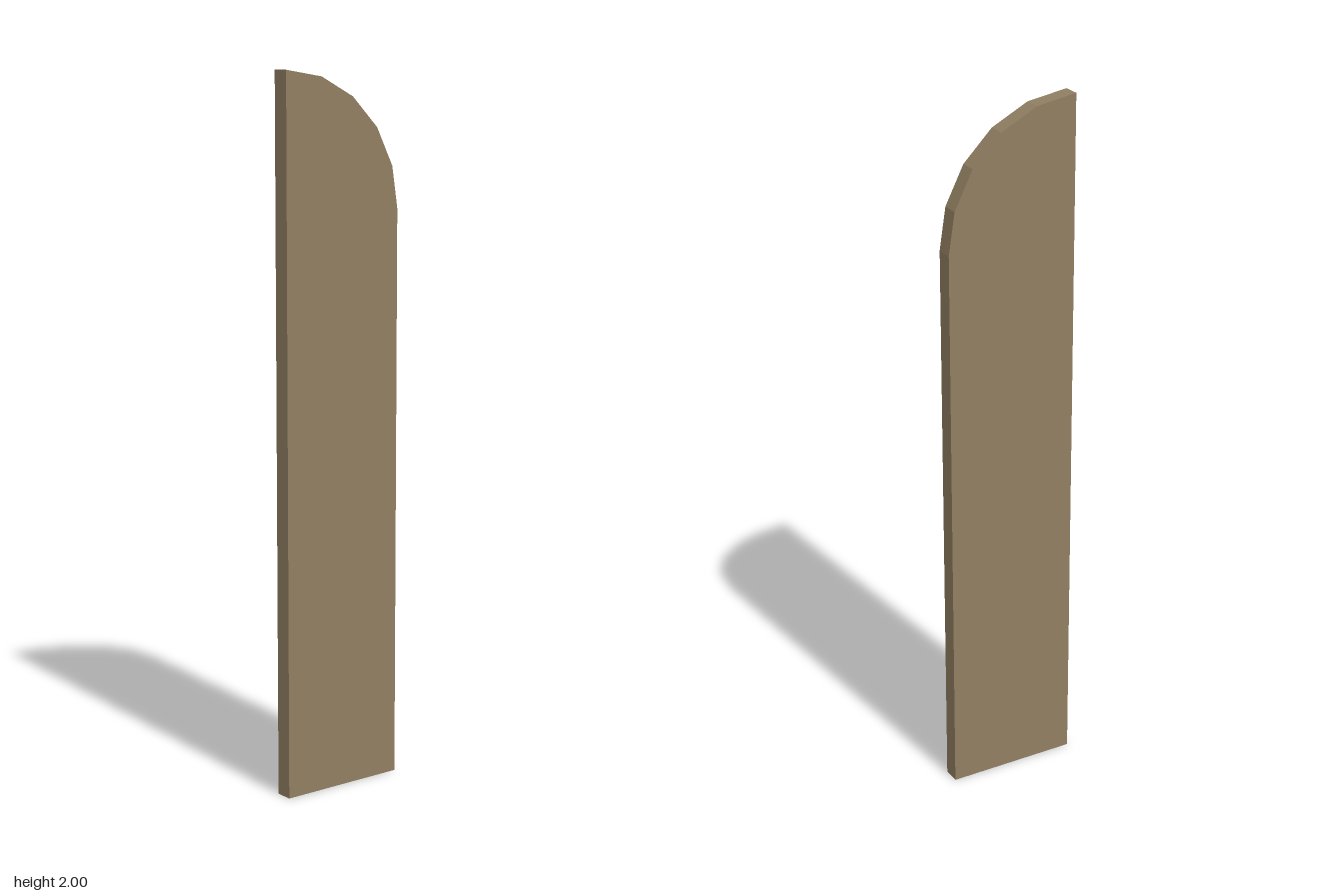
import * as THREE from 'three';

const THICKNESS = 0.05;
const HALF_WIDTH = 0.19;
const HEIGHT = 2;
const RADIUS = 2 * HALF_WIDTH; // the rounded corner spans the full width
const ARC_SEGMENTS = 5;

export function createModel() {
  const group = new THREE.Group();
  group.name = 'roundedBoard';

  // Side profile: straight front edge, back top corner rounded in facets
  const points = [
    new THREE.Vector2(-HALF_WIDTH, 0),
    new THREE.Vector2(HALF_WIDTH, 0),
  ];
  for (let i = 0; i <= ARC_SEGMENTS; i++) {
    const a = (i / ARC_SEGMENTS) * Math.PI / 2;
    points.push(new THREE.Vector2(
      -HALF_WIDTH + RADIUS * Math.cos(a),
      HEIGHT - RADIUS + RADIUS * Math.sin(a),
    ));
  }

  // Extrude the profile, then turn it so the thickness runs along x
  const geometry = new THREE.ExtrudeGeometry(new THREE.Shape(points), {
    depth: THICKNESS,
    bevelEnabled: false,
  });
  geometry.translate(0, 0, -THICKNESS / 2);
  geometry.rotateY(Math.PI / 2);

  const board = new THREE.Mesh(
    geometry,
    new THREE.MeshStandardMaterial({ color: 0x917f62, flatShading: true }),
  );
  board.name = 'board';
  group.add(board);
  return group;
}
